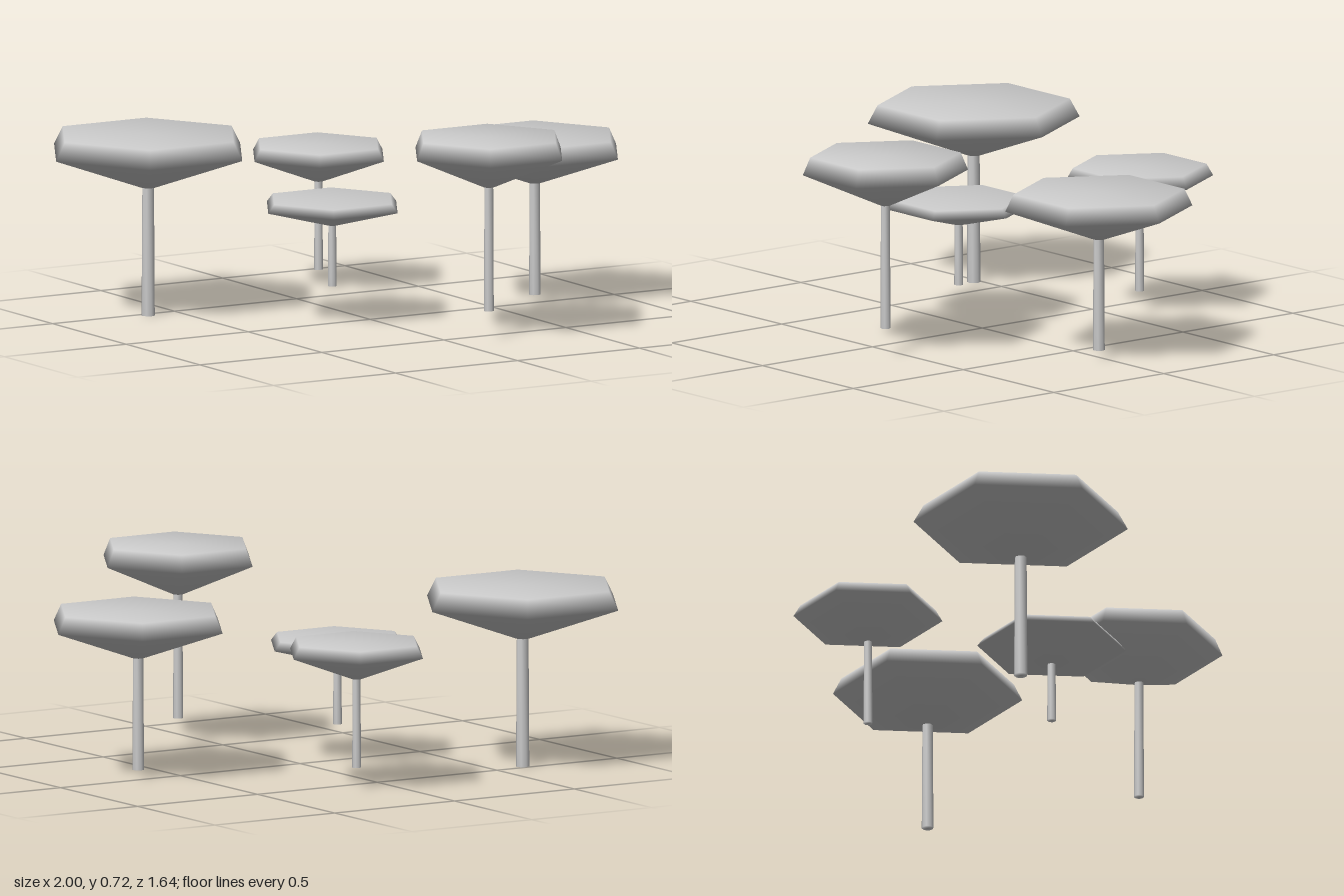
import * as THREE from 'three';
import { mergeVertices } from 'three/addons/utils/BufferGeometryUtils.js';

const material = new THREE.MeshStandardMaterial({ color: 0xcccccc });

// Spun profile with few sides and fully shared, softly shaded vertices
function softLathe(profile, sides) {
  const points = profile.map(([r, y]) => new THREE.Vector2(r, y));
  let geometry = new THREE.LatheGeometry(points, sides, Math.PI / 2);
  geometry.deleteAttribute('uv');
  geometry.deleteAttribute('normal');
  geometry = mergeVertices(geometry, 1e-4);
  geometry.computeVertexNormals();
  return geometry;
}

function addMesh(group, name, geometry) {
  const mesh = new THREE.Mesh(geometry, material);
  mesh.name = name;
  group.add(mesh);
}

// One tree: thin stem under a six-sided cap with a sloped rim and cone underside
function createTree({ x, z, base, neck, rim, top, rimRadius, topRadius, stem }) {
  const tree = new THREE.Group();
  tree.position.set(x, 0, z);
  addMesh(tree, 'stem', softLathe([
    [0, base], [stem, base], [stem * 0.88, neck + 0.01], [0, neck + 0.01],
  ], 8));
  addMesh(tree, 'cap', softLathe([
    [0, neck], [stem, neck], [rimRadius, rim], [topRadius, top], [0, top],
  ], 6));
  return tree;
}

const trees = [
  { name: 'largeTree', x: -0.623, z: -0.475, base: 0, neck: 0.455, rim: 0.58, top: 0.645, rimRadius: 0.377, topRadius: 0.342, stem: 0.024 },
  { name: 'tallTree', x: 0.147, z: 0.562, base: 0.1, neck: 0.54, rim: 0.658, top: 0.72, rimRadius: 0.294, topRadius: 0.268, stem: 0.018 },
  { name: 'backTree', x: 0.147, z: -0.594, base: 0.078, neck: 0.392, rim: 0.483, top: 0.525, rimRadius: 0.262, topRadius: 0.238, stem: 0.016 },
  { name: 'lowTree', x: -0.147, z: -0.014, base: 0.13, neck: 0.346, rim: 0.41, top: 0.44, rimRadius: 0.262, topRadius: 0.238, stem: 0.016 },
  { name: 'leftTree', x: 0.664, z: 0.018, base: 0.033, neck: 0.43, rim: 0.54, top: 0.6, rimRadius: 0.333, topRadius: 0.304, stem: 0.021 },
];

export function createModel() {
  const model = new THREE.Group();
  model.name = 'flatTopTrees';
  for (const spec of trees) {
    const tree = createTree(spec);
    tree.name = spec.name;
    model.add(tree);
  }
  return model;
}
